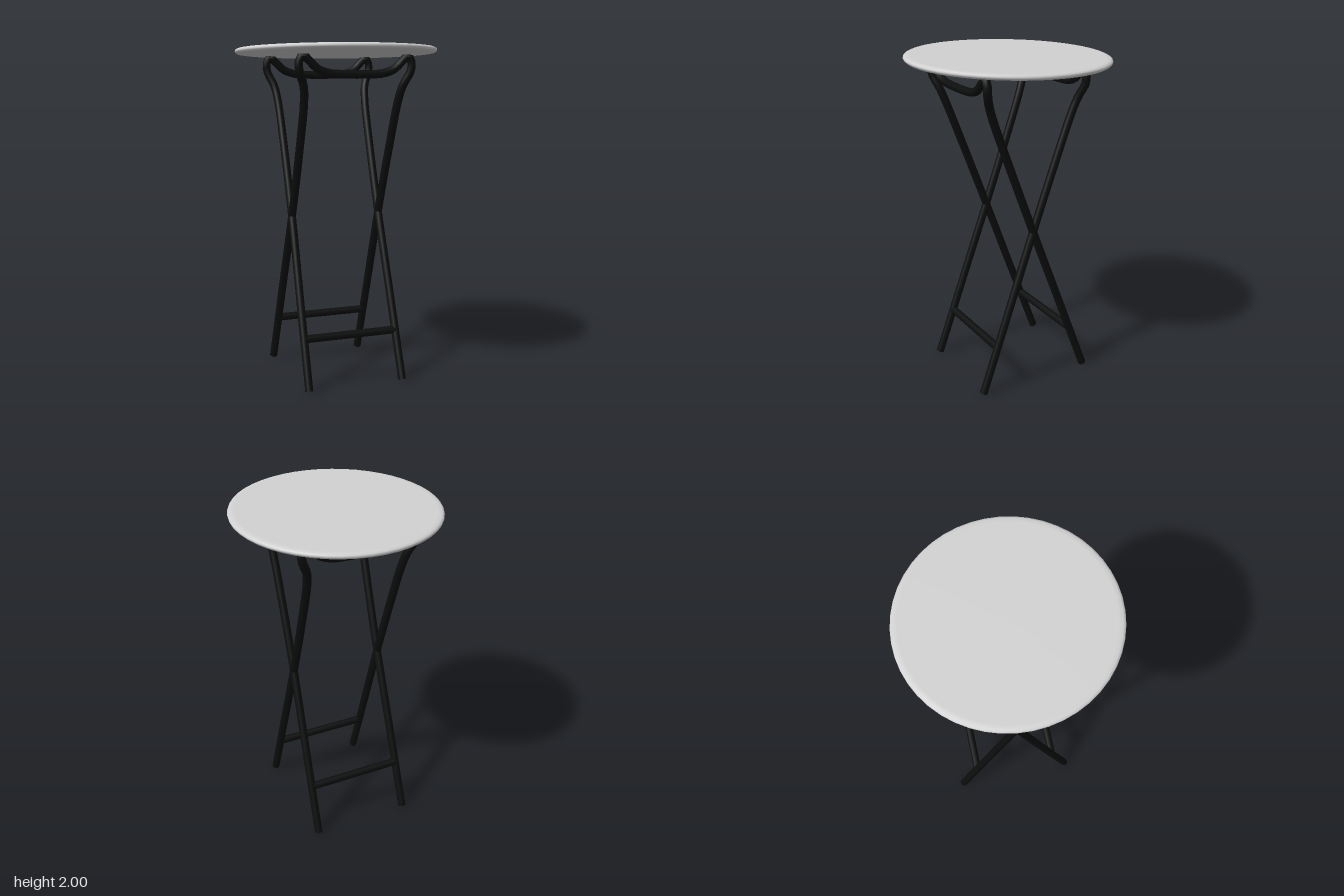
import * as THREE from 'three';

const R = 0.024; // tube radius

export function createModel() {
  const model = new THREE.Group();
  const topMat = new THREE.MeshStandardMaterial({ color: 0xd2d2d2 });
  topMat.name = 'lightGrey';
  const frameMat = new THREE.MeshStandardMaterial({ color: 0x0c0d0d });
  frameMat.name = 'black';

  const add = (parent, geometry, material, name) => {
    const mesh = new THREE.Mesh(geometry, material);
    mesh.name = name;
    parent.add(mesh);
    return mesh;
  };

  // Round, soft-edged top, leaning slightly to the back
  const profile = [
    [0, -0.017], [0.57, -0.017], [0.588, -0.014], [0.598, -0.006], [0.6, 0.002],
    [0.597, 0.01], [0.585, 0.016], [0.56, 0.018], [0, 0.018],
  ].map(([x, y]) => new THREE.Vector2(x, y));
  const top = add(model, new THREE.LatheGeometry(profile, 48), topMat, 'tableTop');
  top.position.y = 1.969;
  top.rotation.x = -0.024;

  // Half of a frame as [x, y], from the foot to the middle of the sagging support
  const half = [
    [0.297, 0.009], [0.29, 0.5], [0.282, 1.0], [0.283, 1.4], [0.29, 1.68], [0.304, 1.77],
    [0.338, 1.85], [0.34, 1.905], [0.318, 1.935], [0.285, 1.91], [0.235, 1.863], [0.165, 1.838], [0.08, 1.832],
  ];

  // One bent-tube frame whose legs slope from footZ up to topZ
  const buildFrame = (name, footZ, topZ, bendY) => {
    const frame = new THREE.Group();
    frame.name = name;
    const zAt = (y) => THREE.MathUtils.lerp(footZ, topZ, Math.min(1, y / bendY));
    const point = (side) => ([x, y], i) =>
      new THREE.Vector3(side * x, y, i > 8 ? topZ : zAt(y));
    const path = new THREE.CatmullRomCurve3([
      ...half.map(point(-1)),
      ...half.map(point(1)).reverse(),
    ]);
    add(frame, new THREE.TubeGeometry(path, 160, R, 12), frameMat, 'bentTube');

    // Closed ends at the feet
    for (const t of [0, 1]) {
      const foot = add(frame, new THREE.CircleGeometry(R, 12), frameMat, 'footCap');
      const outward = path.getTangent(t).multiplyScalar(t ? 1 : -1);
      foot.position.copy(path.getPoint(t));
      foot.quaternion.setFromUnitVectors(new THREE.Vector3(0, 0, 1), outward);
    }

    // Low crossbar between the legs
    const bar = add(frame, new THREE.CylinderGeometry(R, R, 0.58, 12), frameMat, 'crossbar');
    bar.rotation.z = Math.PI / 2;
    bar.position.set(0, 0.293, zAt(0.293));
    model.add(frame);
  };

  buildFrame('frontFootFrame', 0.35, -0.308, 1.84);
  buildFrame('backFootFrame', -0.382, 0.328, 1.86);

  return model;
}
